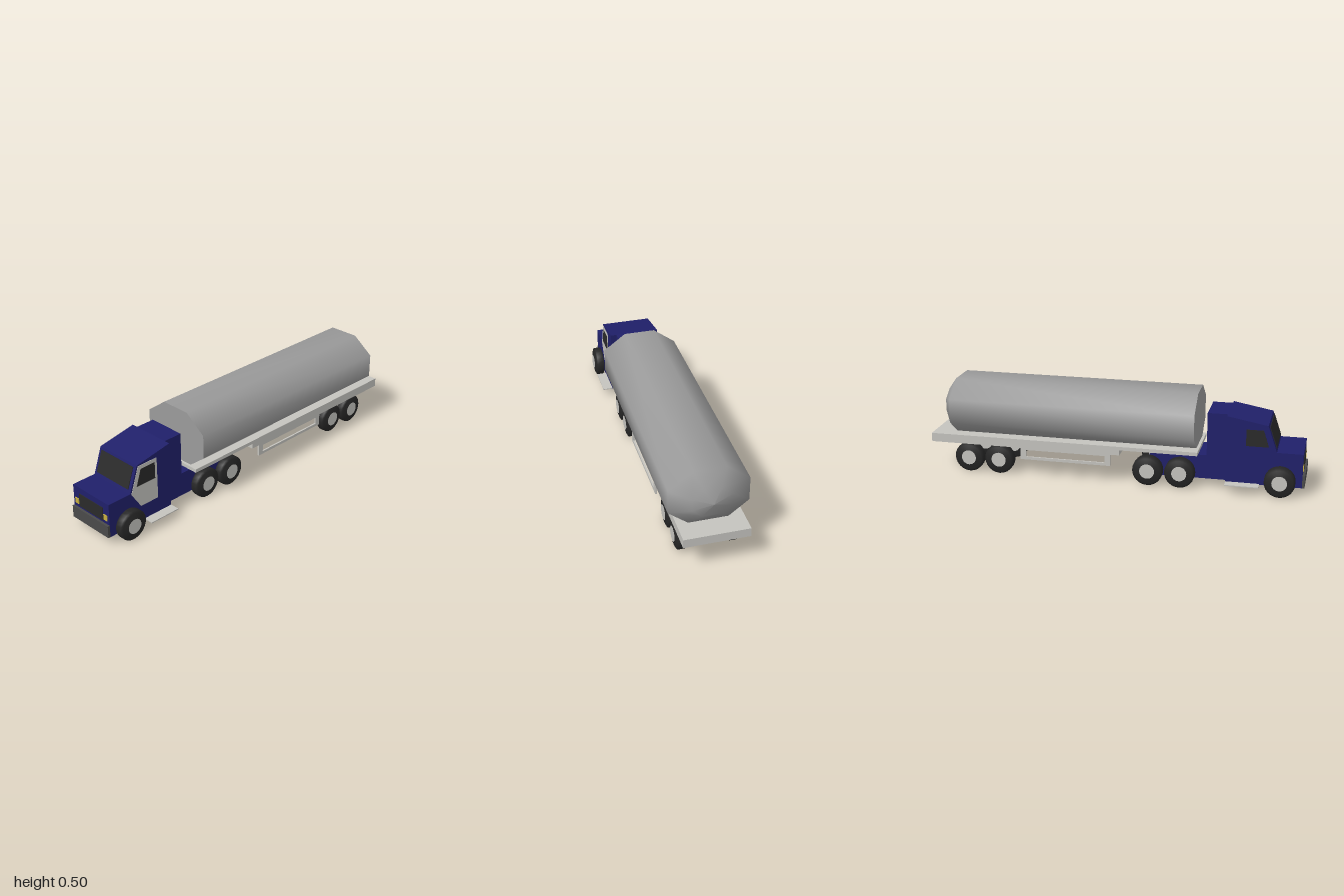
import * as THREE from 'three';

const mat = (color) => new THREE.MeshStandardMaterial({ color, side: THREE.DoubleSide });
const BLUE = mat(0x20206a), GREY = mat(0xc4c3be), DARK = mat(0x2a2a2a), TYRE = mat(0x262626);
const STEEL = mat(0x9a9a9a), YELLOW = mat(0xc8b040), BUMPER = mat(0x4a4a4a);

function add(parent, name, geometry, material) {
  const m = new THREE.Mesh(geometry, material);
  m.name = name;
  parent.add(m);
  return m;
}

// box given by its minimum and maximum on each axis
function box(parent, name, material, [x0, x1], [y0, y1], [z0, z1]) {
  const m = add(parent, name, new THREE.BoxGeometry(x1 - x0, y1 - y0, z1 - z0), material);
  m.position.set((x0 + x1) / 2, (y0 + y1) / 2, (z0 + z1) / 2);
  return m;
}

// side profile extruded across z, with optional holes
function slab(parent, name, material, pts, z0, z1, holes = []) {
  const toVec = (list) => list.map(([x, y]) => new THREE.Vector2(x, y));
  const shape = new THREE.Shape(toVec(pts));
  holes.forEach((h) => shape.holes.push(new THREE.Path(toVec(h))));
  const g = new THREE.ExtrudeGeometry(shape, { depth: z1 - z0, bevelEnabled: false });
  return add(parent, name, g.translate(0, 0, z0), material);
}

const rect = (x0, x1, y0, y1) => [[x0, y0], [x1, y0], [x1, y1], [x0, y1]];

// eight-sided tank: rings shrink towards the rounded rear end
function tankGeometry() {
  const section = [[-0.15, 0.098], [-0.07, 0.2], [0.058, 0.2], [0.145, 0.083],
    [0.145, -0.083], [0.058, -0.2], [-0.07, -0.2], [-0.15, -0.098]];
  const rings = [[-0.435, 1], [0.88, 1], [0.938, 0.5], [0.96, 0.001]];
  const pos = [], idx = [], n = section.length;
  rings.forEach(([x, s]) => section.forEach(([y, z]) => pos.push(x, 0.352 + y * s, z * s)));
  for (let r = 0; r < rings.length - 1; r++) {
    for (let i = 0; i < n; i++) {
      const a = r * n + i, b = r * n + (i + 1) % n;
      idx.push(a, a + n, b, b, a + n, b + n);
    }
  }
  // flat front cap with its own vertices for a sharp edge
  const c = pos.length / 3;
  section.forEach(([y, z]) => pos.push(-0.435, 0.352 + y, z));
  for (let i = 1; i < n - 1; i++) idx.push(c, c + i, c + i + 1);
  const g = new THREE.BufferGeometry();
  g.setAttribute('position', new THREE.Float32BufferAttribute(pos, 3));
  g.setIndex(idx);
  g.computeVertexNormals();
  return g;
}

// tyre with bevelled shoulders and a pale hub on each face
function wheel(parent, name, x, z) {
  const w = new THREE.Group();
  w.name = name;
  const profile = [[0.04, -0.03], [0.068, -0.023], [0.08, -0.017], [0.08, 0.017], [0.068, 0.023], [0.04, 0.03]]
    .map(([r, h]) => new THREE.Vector2(r, h));
  add(w, 'tyre', new THREE.LatheGeometry(profile, 24).rotateX(Math.PI / 2), TYRE);
  add(w, 'hub', new THREE.CylinderGeometry(0.04, 0.04, 0.06, 24).rotateX(Math.PI / 2), GREY);
  w.position.set(x, 0.08, z);
  parent.add(w);
}

export function createModel() {
  const model = new THREE.Group();
  model.name = 'tankerTruck';
  add(model, 'tank', tankGeometry(), STEEL);

  // running gear sits slightly off the tank's centre line
  const truck = new THREE.Group();
  truck.name = 'truck';
  truck.position.z = -0.008;
  model.add(truck);

  // tractor: wide cab, then narrower sleeper and chassis
  slab(truck, 'cab', BLUE, [[-0.987, 0.047], [-0.595, 0.047], [-0.595, 0.405], [-0.805, 0.367],
    [-0.853, 0.228], [-0.987, 0.228]], -0.135, 0.135);
  slab(truck, 'sleeperAndChassis', BLUE, [[-0.595, 0.047], [-0.19, 0.047], [-0.19, 0.175],
    [-0.49, 0.175], [-0.49, 0.405], [-0.595, 0.405]], -0.103, 0.103);
  box(truck, 'chassisRearPlate', GREY, [-0.19, -0.186], [0.122, 0.174], [-0.1, 0.1]);
  box(truck, 'couplingPlate', GREY, [-0.39, -0.26], [0.175, 0.188], [-0.07, 0.07]);

  // cab fittings
  slab(truck, 'door', GREY, [[-0.79, 0.135], [-0.68, 0.135], [-0.68, 0.362], [-0.798, 0.362],
    [-0.846, 0.222]], 0.135, 0.137);
  for (const s of [-1, 1]) {
    const z = s * 0.138;
    slab(truck, 'sideWindow', DARK, [[-0.812, 0.254], [-0.695, 0.254], [-0.695, 0.342], [-0.783, 0.342]],
      z - 0.001, z + 0.001);
    const near = s * 0.135, far = s * 0.188;
    box(truck, 'step', GREY, [-0.77, -0.595], [0.047, 0.052], [Math.min(near, far), Math.max(near, far)]);
    box(truck, 'headlight', YELLOW, [-0.991, -0.987], [0.132, 0.162], [s * 0.108 - 0.013, s * 0.108 + 0.013]);
  }
  slab(truck, 'windscreen', DARK, [[-0.849, 0.246], [-0.811, 0.356], [-0.814, 0.357], [-0.852, 0.247]],
    -0.118, 0.118);
  box(truck, 'grille', DARK, [-0.99, -0.987], [0.122, 0.195], [-0.09, 0.09]);
  box(truck, 'bumper', BUMPER, [-1, -0.987], [0.047, 0.112], [-0.135, 0.135]);

  // trailer bed, thinner above the coupling
  slab(truck, 'trailerBed', GREY, [[-0.45, 0.188], [-0.04, 0.188], [-0.04, 0.16], [1, 0.16],
    [1, 0.207], [-0.45, 0.207]], -0.166, 0.166);
  for (const z of [-0.166, 0.157]) {
    slab(truck, 'sideGuard', GREY, rect(0.01, 0.5, 0.097, 0.16), z, z + 0.009,
      [rect(0.04, 0.47, 0.112, 0.15)]);
  }

  // wheels: steering axle is wider than the others
  for (const s of [-1, 1]) {
    wheel(truck, 'frontWheel', -0.875, s * 0.157);
    for (const x of [-0.355, -0.185]) wheel(truck, 'driveWheel', x, s * 0.13);
    for (const x of [0.627, 0.796]) wheel(truck, 'trailerWheel', x, s * 0.13);
  }
  return model;
}
